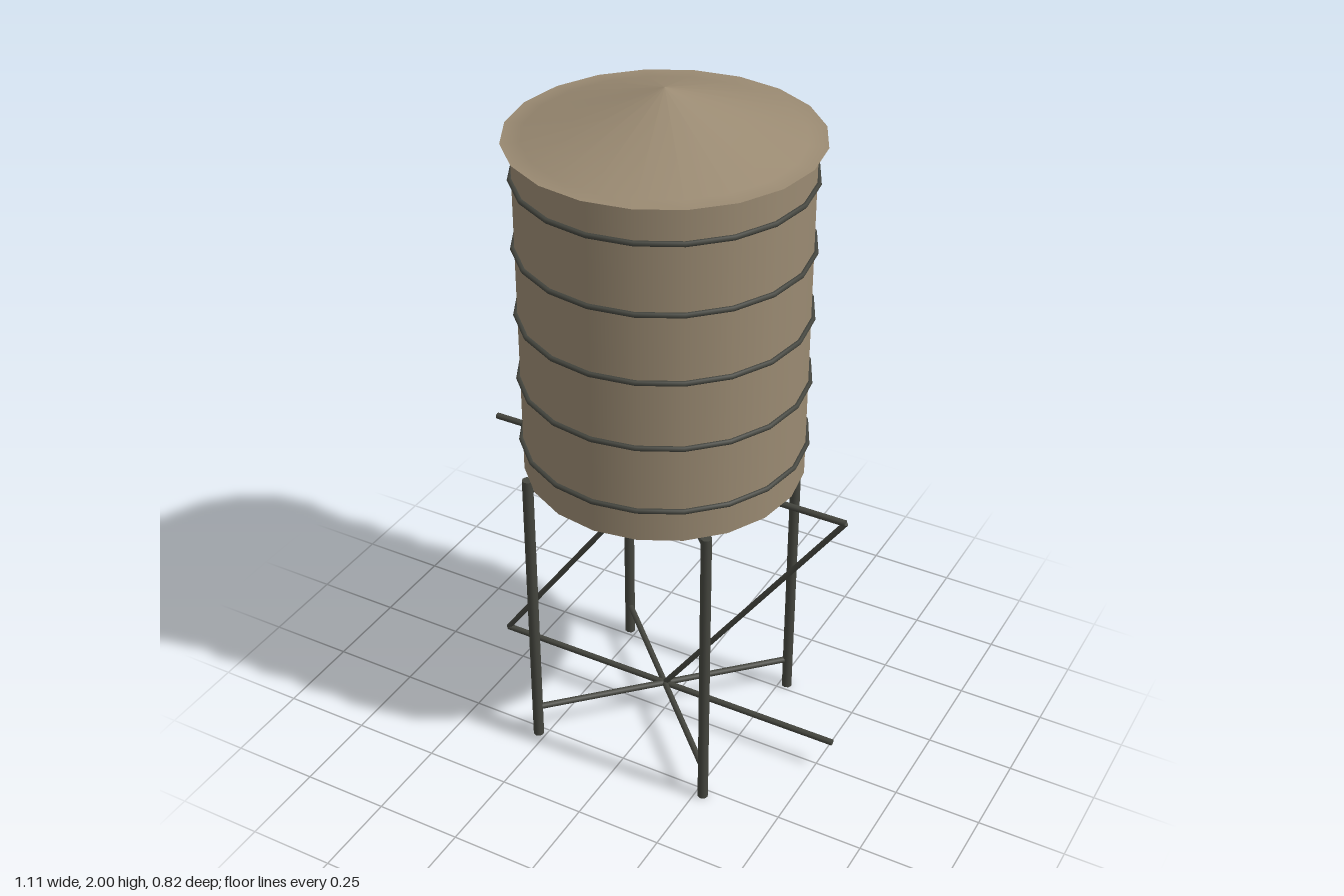
import * as THREE from 'three';

const wood = new THREE.MeshStandardMaterial({ color: 0x9a8a72, side: THREE.DoubleSide });
const steel = new THREE.MeshStandardMaterial({ color: 0x45463f });
const SIDES = 20;

function add(group, name, geometry, material) {
  const mesh = new THREE.Mesh(geometry, material);
  mesh.name = name;
  group.add(mesh);
  return mesh;
}

// Round bar between two points
function bar(group, name, a, b, radius) {
  const from = new THREE.Vector3(...a), to = new THREE.Vector3(...b);
  const dir = to.clone().sub(from);
  const mesh = add(group, name, new THREE.CylinderGeometry(radius, radius, dir.length(), 8), steel);
  mesh.position.copy(from).add(to).multiplyScalar(0.5);
  mesh.quaternion.setFromUnitVectors(new THREE.Vector3(0, 1, 0), dir.normalize());
}

export function createModel() {
  const model = new THREE.Group();
  model.name = 'waterTower';

  // Wooden tank
  const tankBottom = 0.905, tankTop = 1.87;
  add(model, 'tank', new THREE.CylinderGeometry(0.385, 0.385, tankTop - tankBottom, SIDES), wood)
    .position.y = (tankBottom + tankTop) / 2;

  // Shallow conical roof with a thin overhanging lip
  const roofProfile = [[0.41, 1.872], [0.36, 1.874], [0, 2]].map(p => new THREE.Vector2(...p));
  add(model, 'roof', new THREE.LatheGeometry(roofProfile, SIDES), wood);

  // Steel hoops around the tank
  const hoops = new THREE.Group();
  hoops.name = 'hoops';
  model.add(hoops);
  for (let i = 0; i < 5; i++) {
    const hoop = add(hoops, 'hoop', new THREE.TorusGeometry(0.389, 0.007, 6, SIDES), steel);
    hoop.rotation.x = Math.PI / 2;
    hoop.position.y = 1.0 + i * 0.193;
  }

  // Round plate under the tank
  add(model, 'supportPlate', new THREE.CylinderGeometry(0.3, 0.3, 0.012, SIDES), steel)
    .position.y = 0.901;

  // Four legs
  const stand = new THREE.Group();
  stand.name = 'stand';
  model.add(stand);
  const s = 0.273;
  for (const x of [-s, s])
    for (const z of [-s, s]) bar(stand, 'leg', [x, 0, z], [x, 0.905, z], 0.0155);

  // Horizontal bars: two diagonals between legs and one long cross bar per level
  const low = 0.1, high = 0.873, reach = 0.546;
  for (const y of [low, high]) {
    bar(stand, 'diagonalBar', [-s, y, -s], [s, y, s], 0.009);
    bar(stand, 'diagonalBar', [-s, y, s], [s, y, -s], 0.009);
    bar(stand, 'crossBar', [-reach, y, 0], [reach, y, 0], 0.009);
  }

  // Slanted braces in the middle plane
  for (const x of [-reach, 0]) bar(stand, 'brace', [x, low, 0], [x + reach, high, 0], 0.008);

  return model;
}
